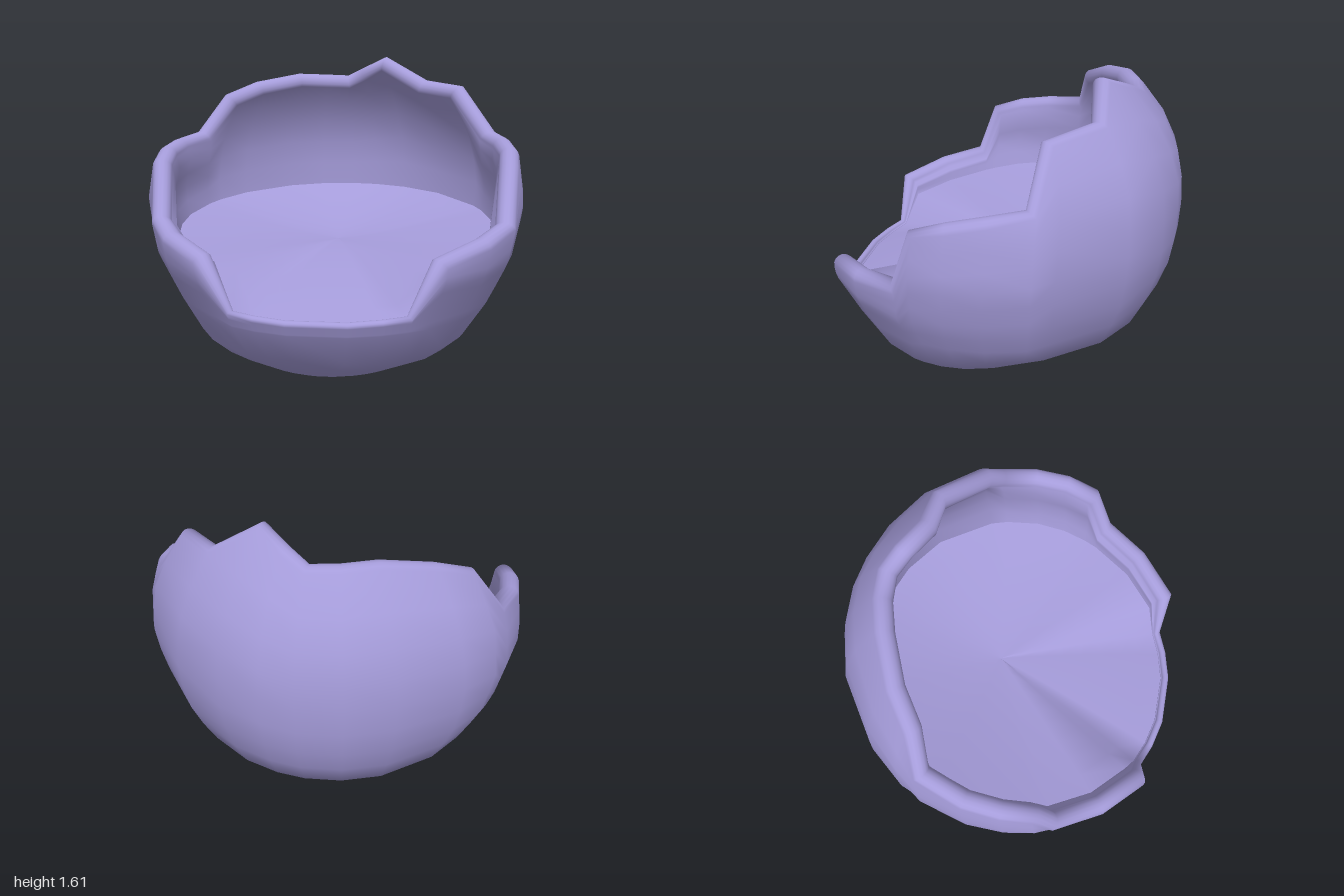
import * as THREE from 'three';

// Outline of the shell by height: y, half width, front z, back z
const LEVELS = [
  [0.0, 0.2, 0.54, -0.08], [0.04, 0.42, 0.63, -0.18], [0.1, 0.61, 0.71, -0.31], [0.18, 0.71, 0.81, -0.46],
  [0.33, 0.835, 0.9, -0.78], [0.4, 0.87, 0.93, -0.815], [0.58, 0.955, 1.01, -0.89], [0.84, 1.01, 1.02, -0.925],
  [1.1, 0.975, 0.96, -0.905], [1.2, 0.93, 0.88, -0.875], [1.35, 0.85, 0.79, -0.8], [1.47, 0.755, 0.7, -0.71],
  [1.62, 0.6, 0.56, -0.56],
];

// Broken edge, from the front lip round the left, the back and the right: x, y, z
const RIM = [
  [0.14, 0.385, 0.9], [0.3, 0.39, 0.87], [0.43, 0.4, 0.82], [0.57, 0.64, 0.8], [0.76, 0.69, 0.6],
  [0.9, 0.74, 0.36], [0.91, 1.04, 0.25], [0.92, 1.09, 0.1], [0.91, 1.13, -0.08], [0.84, 1.17, -0.27],
  [0.65, 1.43, -0.3], [0.44, 1.46, -0.47], [0.23, 1.6, -0.47], [0.12, 1.54, -0.54], [0.02, 1.49, -0.6],
  [-0.12, 1.495, -0.58], [-0.27, 1.5, -0.54], [-0.52, 1.45, -0.47], [-0.66, 1.38, -0.36], [-0.8, 1.15, -0.3],
  [-0.9, 1.11, -0.08], [-0.92, 1.08, 0.1], [-0.91, 1.04, 0.25], [-0.9, 0.74, 0.36], [-0.76, 0.69, 0.6],
  [-0.57, 0.64, 0.8], [-0.43, 0.4, 0.82], [-0.3, 0.39, 0.87], [-0.14, 0.385, 0.9],
];

// Half width, centre z and half depth at a height
function outline(y) {
  let i = 1;
  while (i < LEVELS.length - 1 && LEVELS[i][0] < y) i++;
  const a = LEVELS[i - 1], b = LEVELS[i];
  const t = THREE.MathUtils.clamp((y - a[0]) / (b[0] - a[0]), 0, 1);
  const [w, f, k] = [1, 2, 3].map((j) => a[j] + (b[j] - a[j]) * t);
  return { w, c: (f + k) / 2, h: (f - k) / 2 };
}

function shellPoint(y, angle, inset = 0) {
  const { w, c, h } = outline(y);
  return new THREE.Vector3((w - inset) * Math.cos(angle), y, c + (h - inset) * Math.sin(angle));
}

// Joins columns of points, one column per rim point, into a closed band
function loft(columns) {
  const n = columns.length, m = columns[0].length;
  const index = [];
  for (let i = 0; i < n; i++) {
    const j = (i + 1) % n;
    for (let k = 0; k < m - 1; k++) {
      const a = i * m + k, b = j * m + k;
      index.push(a, b, a + 1, b, b + 1, a + 1);
    }
  }
  const geometry = new THREE.BufferGeometry().setFromPoints(columns.flat());
  geometry.setIndex(index);
  geometry.computeVertexNormals();
  return geometry;
}

export function createModel() {
  const group = new THREE.Group();
  const lavender = new THREE.MeshStandardMaterial({ color: 0xa59cda });
  lavender.name = 'lavender shell';
  const add = (name, geometry) => {
    const mesh = new THREE.Mesh(geometry, lavender);
    mesh.name = name;
    group.add(mesh);
  };

  // Centre line of the rounded rim
  const rim = RIM.map(([x, y, z]) => {
    const { w, c, h } = outline(y);
    const angle = Math.atan2((z - c) / h, x / w);
    const out = new THREE.Vector3(Math.cos(angle), Math.max(0, y - 0.83), Math.sin(angle)).normalize();
    const radius = y < 0.5 ? 0.02 : 0.052;
    const centre = shellPoint(y, angle).addScaledVector(out, -radius);
    return { y, angle, out, radius, centre };
  });
  const n = rim.length;

  const walls = [], floors = [];
  const floorCentre = new THREE.Vector3(0, 0.58, -0.1);
  rim.forEach(({ y, angle, out, radius, centre }, i) => {
    const s = Math.sin(angle);

    // Outside wall, from the base up
    const wall = [new THREE.Vector3(0, 0.02, 0.2)];
    for (const level of [0.01, 0.04, 0.1, 0.18, 0.33]) wall.push(shellPoint(level, angle));
    for (let k = 1; k < 8; k++) wall.push(shellPoint(0.33 + (y - 0.33) * k / 8, angle));

    // Rounded edge, square to the direction of the break
    const tangent = rim[(i + 1) % n].centre.clone().sub(rim[(i + n - 1) % n].centre);
    const up = out.clone().cross(tangent).normalize();
    if (up.y < 0) up.negate();
    for (let k = 0; k <= 8; k++) {
      const a = Math.PI * k / 8;
      wall.push(centre.clone().addScaledVector(out, radius * Math.cos(a)).addScaledVector(up, radius * Math.sin(a)));
    }

    // Inside wall, down to a floor line that rises toward the back
    const isLip = y < 0.5;
    const edgeY = isLip ? y - 0.005 : Math.min(0.7 + (s < 0 ? -0.11 : -0.16) * s, y - 0.07);
    const inset = isLip ? 0.045 : 0.125;
    for (let k = 1; k <= 5; k++) wall.push(shellPoint(y + (edgeY - y) * k / 5, angle, inset));
    walls.push(wall);

    // Floor, shallow in the middle and joined to the foot of the inside wall
    const edge = wall[wall.length - 1];
    const floor = [];
    for (let k = 8; k >= 0; k--) {
      const p = k / 8;
      const point = floorCentre.clone().lerp(edge, p);
      point.y = floorCentre.y + (edge.y - floorCentre.y) * p ** 1.4;
      floor.push(point);
    }
    floors.push(floor);
  });

  add('shellWall', loft(walls));
  add('innerFloor', loft(floors));
  return group;
}
